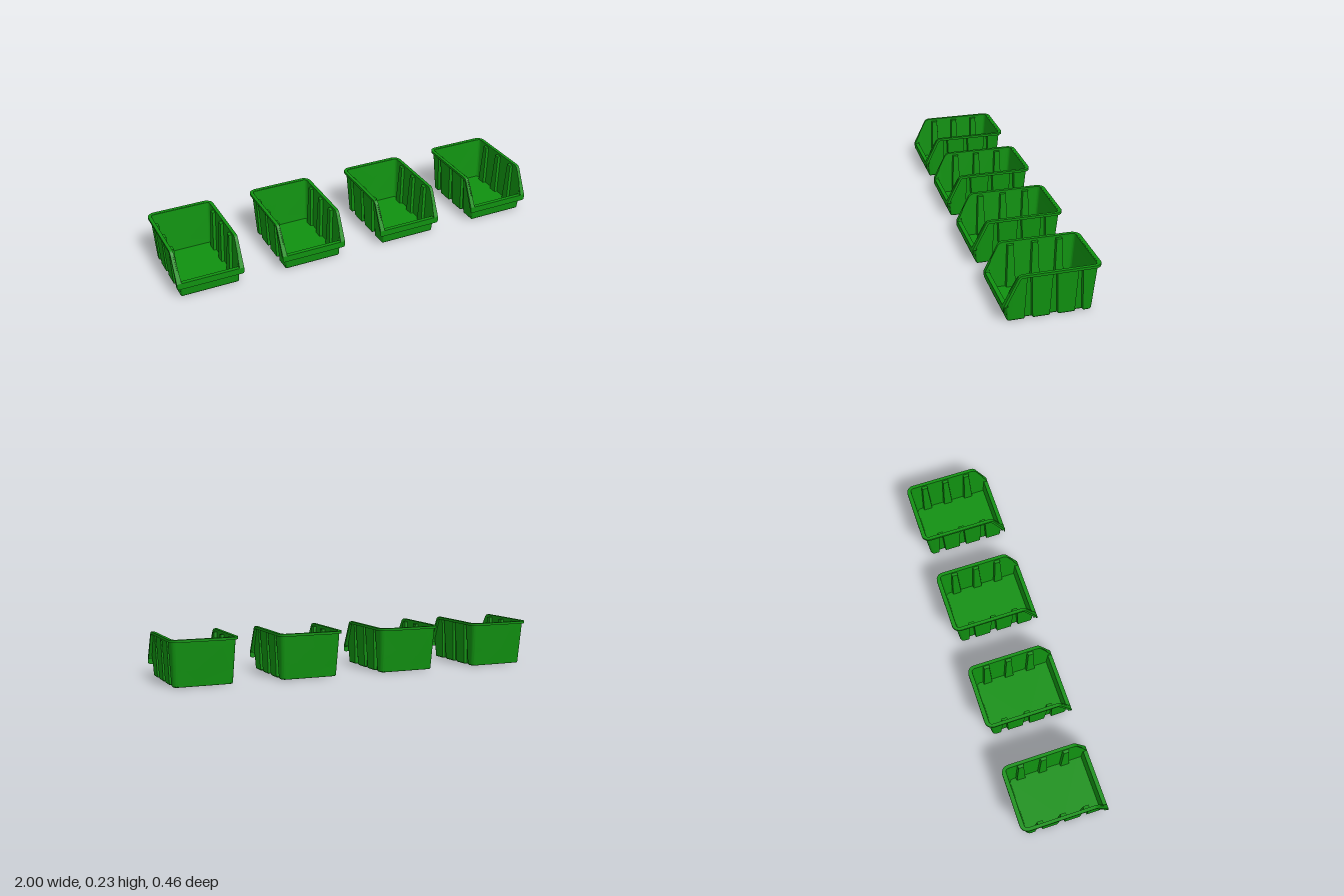
import * as THREE from 'three';
import { toCreasedNormals } from 'three/addons/utils/BufferGeometryUtils.js';

const WALL = 0.006, GROOVE = 0.015, GROOVE_TOP = 0.218;
// Opening edge seen from the side: z, y, angle of the edge normal
const EDGE = [
  [0.233, 0.09, 0.46], [0.172, 0.212, 0.46], [0.166, 0.223, 0.75],
  [0.158, 0.231, 1.15], [0.147, 0.235, Math.PI / 2],
];

// Height of the side wall at depth z
function edgeHeight(z) {
  if (z >= EDGE[0][0]) return EDGE[0][1];
  for (let i = 1; i < EDGE.length; i++) {
    const [z0, y0] = EDGE[i - 1], [z1, y1] = EDGE[i];
    if (z >= z1) return y0 + (y1 - y0) * (z0 - z) / (z0 - z1);
  }
  return 0.235;
}

// Skin a grid of points: columns[i][j]; caps are pairs [row, facing up]
function skin(columns, { closed = false, loopSection = false, caps = [] } = {}) {
  const n = columns.length, m = columns[0].length, index = [];
  for (let i = 0; i < (closed ? n : n - 1); i++) {
    for (let j = 0; j < (loopSection ? m : m - 1); j++) {
      const i2 = (i + 1) % n, j2 = (j + 1) % m;
      const a = i * m + j, b = i2 * m + j, c = i2 * m + j2, d = i * m + j2;
      index.push(a, b, c, a, c, d);
    }
  }
  for (const [row, up] of caps) {
    const outline = columns.map((c) => new THREE.Vector2(c[row][0], -c[row][2]));
    for (const [a, b, c] of THREE.ShapeUtils.triangulateShape(outline, [])) {
      const t = up ? [a, b, c] : [a, c, b];
      index.push(...t.map((k) => k * m + row));
    }
  }
  const g = new THREE.BufferGeometry();
  g.setAttribute('position', new THREE.Float32BufferAttribute(columns.flat(2), 3));
  g.setIndex(index);
  return toCreasedNormals(g, 0.6);
}

const mirrored = (cols) =>
  cols.concat([...cols].reverse().map((c) => c.map(([x, y, z]) => [-x, y, z])));

// Tapered tub with grooved sides, floor and sloping front opening
function tubGeometry() {
  const cols = [];
  const add = (x, z, nx, nz, dx, dz, top, groove = 0) => cols.push({ x, z, nx, nz, dx, dz, top, groove });
  // front corner
  for (let i = 0; i <= 3; i++) {
    const a = (Math.PI / 2) * (1 - i / 3), r = 0.008;
    add(0.142 + r * Math.cos(a), 0.202 + r * Math.sin(a), Math.cos(a), Math.sin(a), 0.05, 0.09,
      0.088 + 0.032 * (i / 3));
  }
  for (const z of [0.2, 0.185, 0.172, 0.166, 0.158, 0.147]) {
    add(0.15, z, 1, 0, 0.05, 0.09 * Math.max(0, (z - 0.147) / 0.063) * 0.3, edgeHeight(z));
  }
  // grooves narrowing upwards
  for (const z of [0.11, -0.01, -0.13]) {
    for (const [s, w, g] of [[1, 0.02, 0], [1, 0.017, 1], [-1, 0.017, 1], [-1, 0.02, 0]]) {
      add(0.15, z + s * w, 1, -s, 0.05, -s * 0.043, 0.234, g);
    }
  }
  // back corner
  for (let i = 0; i <= 6; i++) {
    const a = -(Math.PI / 2) * (i / 6), r = 0.022;
    add(0.128 + r * Math.cos(a), -0.173 + r * Math.sin(a), Math.cos(a), Math.sin(a), 0.05, -0.09, 0.234);
  }
  // section levels: y, inward offset (up the outside, down the inside)
  const levels = [
    [0, 0.003], [0.004, 0], [0.08, 0], [GROOVE_TOP, 0], [GROOVE_TOP + 0.001, 0], [1, 0],
    [1, WALL], [GROOVE_TOP + 0.005, WALL], [GROOVE_TOP + 0.004, WALL], [0.08, WALL], [WALL, WALL],
  ];
  const half = cols.map((c) => levels.map(([level, off], k) => {
    const y = Math.min(level, c.top);
    const cut = c.groove && (k <= 3 || k >= 8) ? GROOVE : 0;
    return [c.x + c.dx * y - c.nx * off - cut, y, c.z + c.dz * y - c.nz * off];
  }));
  return skin(mirrored(half), { closed: true, caps: [[0, false], [levels.length - 1, true]] });
}

// Flange following the sides and back of the opening
function rimGeometry() {
  const X = 0.1725, BACK = -0.232, R = 0.04, T = 0.013;
  const half = EDGE.map(([z, y, a]) => {
    const xi = 0.144 + 0.05 * y, zb = z - T * Math.cos(a), yb = y - T * Math.sin(a);
    return [[X, yb, zb], [X, y, z], [xi, y, z], [xi, yb, zb]];
  });
  for (let i = 0; i <= 8; i++) {
    const a = -(Math.PI / 2) * (i / 8);
    const at = (r, y) => [X - R + r * Math.cos(a), y, BACK + R + r * Math.sin(a)];
    const ri = R - 0.0175;
    half.push([at(R, 0.222), at(R, 0.235), at(ri, 0.235), at(ri, 0.222)]);
  }
  return skin(mirrored(half), { loopSection: true });
}

// Hanging front skirt with rounded lower corners
function skirtGeometry() {
  const w = 0.1725, top = 0.09, low = 0.057, r = 0.012;
  const s = new THREE.Shape();
  s.moveTo(-w, top);
  s.lineTo(-w, low + r);
  s.quadraticCurveTo(-w, low, -w + r, low);
  s.lineTo(w - r, low);
  s.quadraticCurveTo(w, low, w, low + r);
  s.lineTo(w, top);
  return new THREE.ExtrudeGeometry(s, { depth: 0.004, bevelEnabled: false, curveSegments: 5 })
    .translate(0, 0, 0.229);
}

export function createModel() {
  const model = new THREE.Group();
  model.name = 'storageBins';
  const green = new THREE.MeshStandardMaterial({ color: 0x109010, side: THREE.DoubleSide });
  const parts = {
    tub: tubGeometry(),
    rim: rimGeometry(),
    frontLip: new THREE.BoxGeometry(0.345, 0.005, 0.021).translate(0, 0.0875, 0.2225),
    frontSkirt: skirtGeometry(),
  };
  // four identical bins in a row
  for (let i = 0; i < 4; i++) {
    const bin = new THREE.Group();
    bin.name = `bin${i + 1}`;
    for (const [name, geometry] of Object.entries(parts)) {
      const mesh = new THREE.Mesh(geometry, green);
      mesh.name = name;
      bin.add(mesh);
    }
    bin.position.x = (i - 1.5) * 0.5517;
    model.add(bin);
  }
  return model;
}
